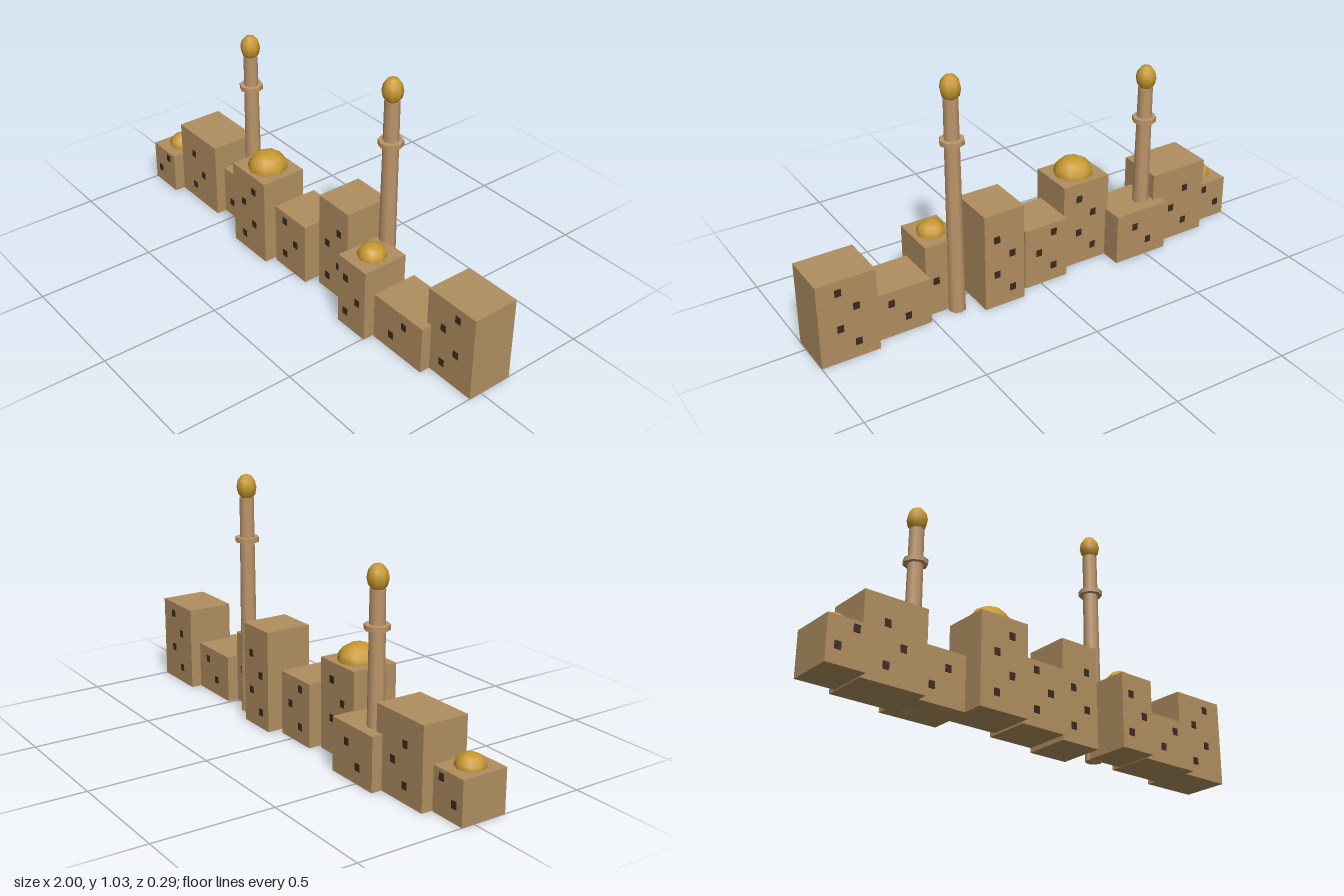
import * as THREE from 'three';

const mat = (name, color) => {
  const m = new THREE.MeshStandardMaterial({ color });
  m.name = name;
  return m;
};

export function createModel() {
  const wall = mat('sandstone', 0xb08e5f);
  const tower = mat('pale sandstone', 0xbd966a);
  const gold = mat('gold', 0xc8982e);
  const dark = mat('dark window', 0x3a2a1e);

  const add = (parent, name, geometry, material, x, y, z) => {
    const mesh = new THREE.Mesh(geometry, material);
    mesh.name = name;
    mesh.position.set(x, y, z);
    parent.add(mesh);
    return mesh;
  };

  const model = new THREE.Group();
  model.name = 'skyline';

  // Houses: centre x, width, height, centre z, window rows, dome radius
  const houses = [
    [-0.92, 0.16, 0.18, 0.045, 2, 0.06],
    [-0.70, 0.27, 0.335, 0, 3, 0],
    [-0.475, 0.25, 0.222, -0.045, 2, 0],
    [-0.25, 0.22, 0.382, 0.045, 4, 0.085],
    [-0.025, 0.20, 0.27, 0, 3, 0],
    [0.20, 0.18, 0.428, -0.045, 4, 0],
    [0.425, 0.16, 0.315, 0.045, 3, 0.06],
    [0.645, 0.27, 0.202, 0, 2, 0],
    [0.878, 0.244, 0.36, -0.045, 4, 0],
  ];
  const depth = 0.2;
  const windowGeo = new THREE.BoxGeometry(0.026, 0.03, 0.005);

  houses.forEach(([x, width, height, z, rows, domeRadius]) => {
    const house = new THREE.Group();
    house.name = 'house';
    house.position.set(x, 0, z);
    model.add(house);
    add(house, 'walls', new THREE.BoxGeometry(width, height, depth), wall, 0, height / 2, 0);

    // Staggered windows on the front and back
    for (let row = 0; row < rows; row++) {
      const wx = row % 2 ? 0.035 : -0.035;
      for (const side of [1, -1]) {
        add(house, 'window', windowGeo, dark, wx, 0.07 + row * 0.08, side * depth / 2);
      }
    }

    // Flattened roof dome
    if (domeRadius) {
      const geo = new THREE.SphereGeometry(domeRadius, 8, 4, 0, Math.PI * 2, 0, Math.PI / 2);
      add(house, 'roofDome', geo, gold, 0, height, 0).scale.y = 0.85;
    }
  });

  // Minarets: tapered shaft, balcony ring and bulb
  [[-0.52, 0.75], [0.38, 0.93]].forEach(([x, height]) => {
    const minaret = new THREE.Group();
    minaret.name = 'minaret';
    minaret.position.set(x, 0, -0.07);
    model.add(minaret);
    add(minaret, 'shaft', new THREE.CylinderGeometry(0.03, 0.036, height, 8), tower, 0, height / 2, 0);
    add(minaret, 'balcony', new THREE.CylinderGeometry(0.05, 0.05, 0.02, 8), tower, 0, height * 0.81, 0);
    add(minaret, 'bulb', new THREE.SphereGeometry(0.042, 8, 6), gold, 0, height + 0.041, 0).scale.y = 1.3;
  });

  return model;
}
